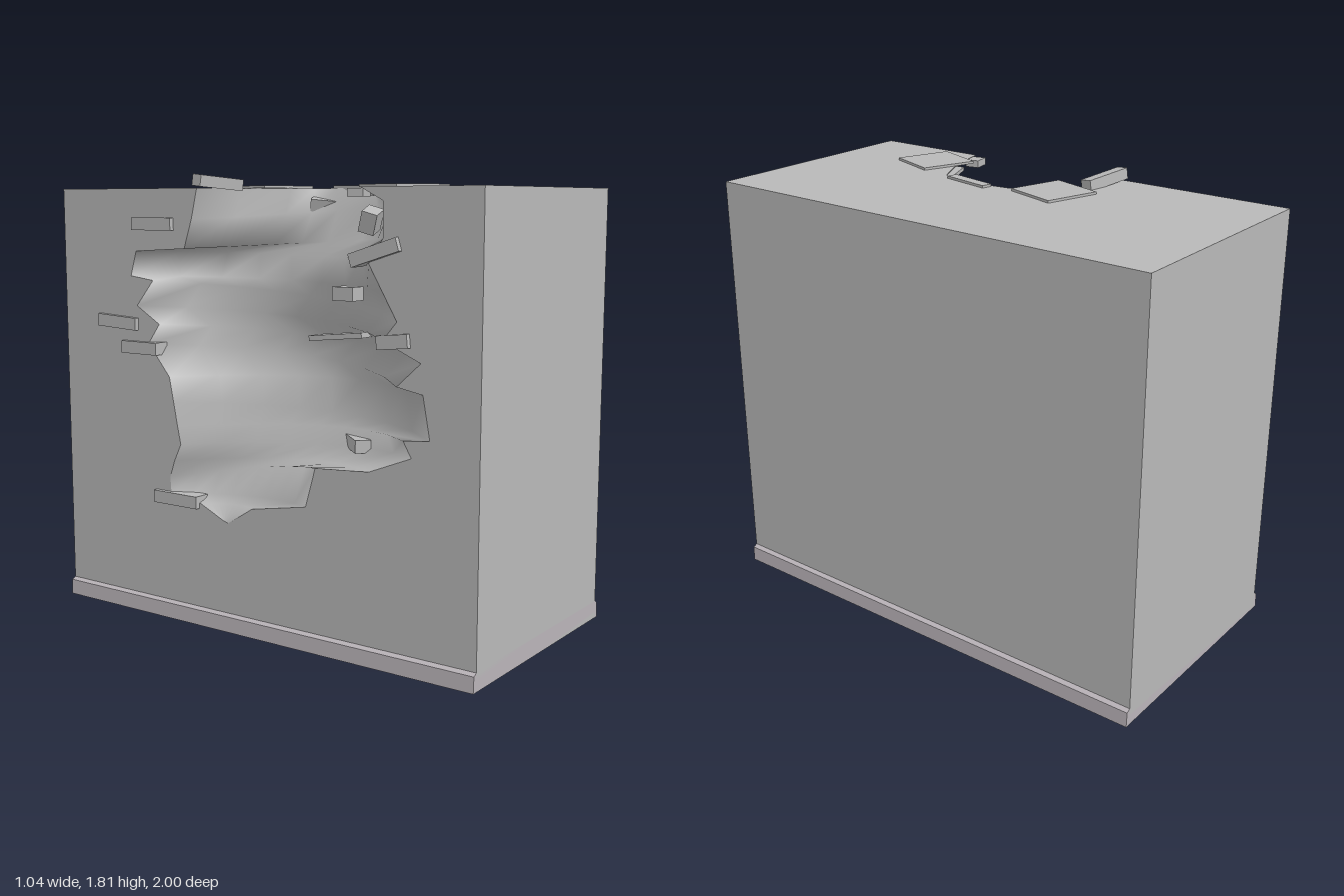
import * as THREE from 'three';

const H = 1.75, W = 0.5;

// Jagged sides of the hole from roof to lowest point, as [z, y]
const BACK_EDGE = [
  [-0.26, H], [-0.29, 1.63], [-0.33, 1.515], [-0.59, 1.5], [-0.62, 1.4], [-0.5, 1.385],
  [-0.59, 1.28], [-0.47, 1.21], [-0.53, 1.13], [-0.42, 1], [-0.4, 0.9], [-0.38, 0.8],
  [-0.365, 0.73], [-0.4, 0.66], [-0.425, 0.59], [-0.42, 0.52], [-0.26, 0.5], [-0.15, 0.45],
];
const FRONT_EDGE = [
  [0.5, H], [0.6, 1.7], [0.6, 1.57], [0.54, 1.48], [0.6, 1.38], [0.66, 1.28],
  [0.6, 1.21], [0.76, 1.14], [0.66, 1.05], [0.77, 1.03], [0.8, 0.87], [0.69, 0.86],
  [0.725, 0.8], [0.545, 0.73], [0.305, 0.715], [0.26, 0.56], [0, 0.515], [-0.12, 0.44],
];
// Rim of the hole in the roof, as [position across, share of the depth]
const RIM = [[0, 0], [0.05, 0.55], [0.3, 0.76], [0.37, 0.97], [0.5, 1], [0.74, 0.99], [0.82, 0.92], [0.93, 0.5], [1, 0]];

// Cross-sections change from the roof rim to a round hollow lower down
function cavityPoint(row, col) {
  const v = row / (BACK_EDGE.length - 1), u = col / (RIM.length - 1);
  const depth = 0.4 * (1 - v * v) - 0.1 * Math.sin(Math.PI * Math.min(1, v / 0.45));
  const blend = Math.min(1, row / 4);
  const round = Math.max(0, Math.sin(Math.PI * u)) ** 0.8;
  const across = THREE.MathUtils.lerp(RIM[col][0], u, blend);
  const inward = THREE.MathUtils.lerp(RIM[col][1], round, blend);
  const [z0, y0] = BACK_EDGE[row], [z1, y1] = FRONT_EDGE[row];
  return [-W + depth * inward, y0 + (y1 - y0) * across, z0 + (z1 - z0) * across];
}

function cavityGeometry() {
  const pos = [], idx = [], n = RIM.length;
  for (let r = 0; r < BACK_EDGE.length; r++) {
    for (let c = 0; c < n; c++) {
      pos.push(...cavityPoint(r, c));
      if (r < BACK_EDGE.length - 1 && c < n - 1) {
        const a = r * n + c, d = a + n;
        idx.push(a, d, a + 1, a + 1, d, d + 1);
      }
    }
  }
  const g = new THREE.BufferGeometry();
  g.setAttribute('position', new THREE.Float32BufferAttribute(pos, 3));
  g.setIndex(idx);
  g.computeVertexNormals();
  return g;
}

const outline = (pts) => new THREE.Shape(pts.map(([x, y]) => new THREE.Vector2(x, y)));

export function createModel() {
  const model = new THREE.Group();
  model.name = 'brokenBuilding';
  const wall = new THREE.MeshStandardMaterial({ color: 0xb8b8b8 });
  wall.name = 'concrete grey';
  const base = new THREE.MeshStandardMaterial({ color: 0xbab4b9 });
  base.name = 'plinth grey';

  const add = (name, geometry, material = wall) => {
    const mesh = new THREE.Mesh(geometry, material);
    mesh.name = name;
    model.add(mesh);
    return mesh;
  };
  const block = (name, size, position, rotation = [0, 0, 0]) => {
    const mesh = add(name, new THREE.BoxGeometry(...size));
    mesh.position.set(...position);
    mesh.rotation.set(...rotation);
  };

  // Plain walls
  add('frontWall', new THREE.PlaneGeometry(2 * W, H).translate(0, H / 2, 1));
  add('backWall', new THREE.PlaneGeometry(2 * W, H).rotateY(Math.PI).translate(0, H / 2, -1));
  add('leftWall', new THREE.PlaneGeometry(2, H).rotateY(Math.PI / 2).translate(W, H / 2, 0));

  // Broken wall, with the hole cut out of its top edge
  const brokenWall = outline([[-1, H], [-1, 0], [1, 0], [1, H], ...FRONT_EDGE, ...[...BACK_EDGE].reverse()]);
  add('brokenWall', new THREE.ShapeGeometry(brokenWall).rotateY(-Math.PI / 2).translate(-W, 0, 0));

  // Roof, notched along the rim of the hole
  const rim = RIM.map((_, c) => cavityPoint(0, c)).map(([x, , z]) => [x, -z]);
  const roof = outline([[-W, 1], ...rim, [-W, -1], [W, -1], [W, 1]]);
  add('roof', new THREE.ShapeGeometry(roof).rotateX(-Math.PI / 2).translate(0, H, 0));

  // Hollow inside the hole
  add('cavity', cavityGeometry());

  // Plinth along the two long sides
  const plinth = outline([[-0.52, 0], [0.52, 0], [0.517, 0.062], [0.5, 0.072], [-0.5, 0.072], [-0.517, 0.062]]);
  add('plinth', new THREE.ExtrudeGeometry(plinth, { depth: 2, bevelEnabled: false }).translate(0, 0, -1), base);

  // Slabs and bricks lying on the roof
  block('roofSlab', [0.237, 0.01, 0.237], [-0.16, 1.755, -0.157], [0, -0.295, 0]);
  block('roofSlab', [0.24, 0.01, 0.23], [-0.293, 1.755, 0.555], [0, -0.36, 0]);
  block('roofBrick', [0.22, 0.045, 0.05], [-0.39, 1.772, -0.245], [0.1, -0.16, -0.06]);
  block('roofBrick', [0.045, 0.04, 0.22], [-0.09, 1.74, 0.21], [0, -0.2, 0]);
  block('roofBrick', [0.05, 0.05, 0.2], [-0.1, 1.68, 0.12], [0.1, 0.4, 0.2]);

  // Bricks left standing out of the broken edge: height, z, length, tilt
  for (const [y, z, length, tilt] of [
    [1.61, -0.49, 0.21, 0], [1.21, -0.69, 0.21, 0.05], [1.11, -0.57, 0.19, 0], [0.505, -0.385, 0.23, 0],
    [1.52, 0.57, 0.21, -0.3], [1.37, 0.44, 0.09, 0], [1.21, 0.65, 0.13, -0.1],
  ]) block('edgeBrick', [0.07, 0.05, length], [-0.485, y, z], [tilt, 0, 0]);

  // Bricks and shards inside the hollow
  block('innerBrick', [0.08, 0.08, 0.06], [-0.365, 1.63, 0.46], [0.3, 0.3, 0.2]);
  block('innerBrick', [0.06, 0.05, 0.22], [-0.22, 1.3, 0.37], [0, -0.2, 0]);
  block('innerBrick', [0.06, 0.05, 0.17], [-0.315, 0.79, 0.37], [0, -0.73, 0]);
  block('innerSlab', [0.08, 0.02, 0.24], [-0.37, 1.2, 0.33], [-0.1, 0, 0]);
  block('edgeShard', [0.07, 0.03, 0.06], [-0.46, 1.73, 0.47], [0, 0.2, 0]);
  block('edgeShard', [0.18, 0.015, 0.06], [-0.22, 1.735, 0.41], [0, 0.4, 0]);

  return model;
}
